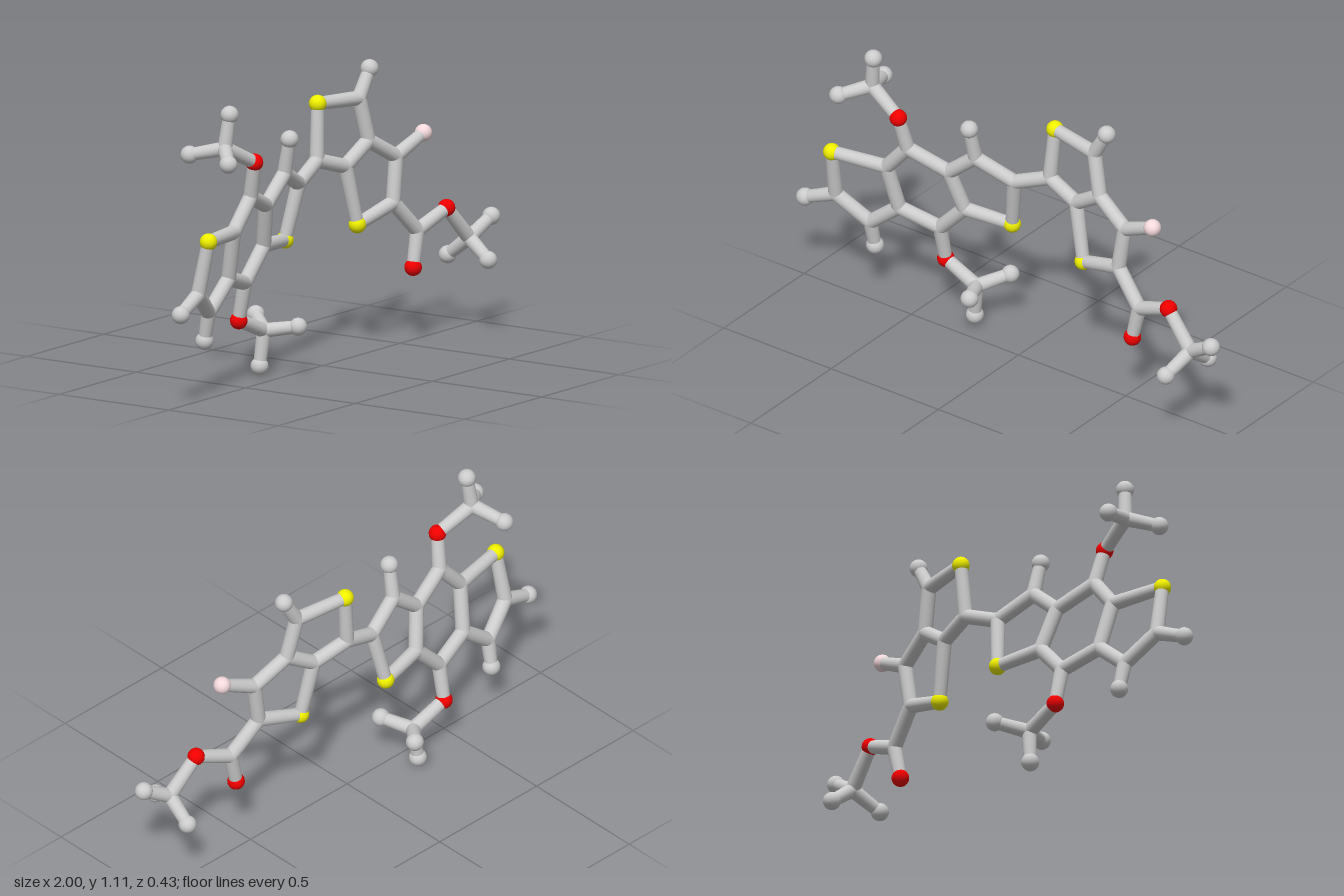
import * as THREE from 'three';

// ball radius, bond radius at that end, colour
const KINDS = {
  carbon: [0.028, 0.028, 0xcccccc],
  hydrogen: [0.034, 0.024, 0xcccccc],
  sulfur: [0.033, 0.025, 0xf0f000],
  oxygen: [0.033, 0.025, 0xf00000],
  fluorine: [0.033, 0.024, 0xf5dadd],
};

// the two fused ring systems are flat, each in its own tilted plane
const leftPlane = (x, y) => -0.217 - 0.184 * x + 0.202 * y;
const rightPlane = (x, y) => -0.058 + 0.18 * x - 0.055 * y;

// name: [kind, x, y, z or plane]
const ATOMS = {
  // left fused rings
  s1: ['sulfur', -0.826, 0.62, leftPlane],
  c1: ['carbon', -0.837, 0.417, leftPlane],
  c2: ['carbon', -0.708, 0.32, leftPlane],
  c3: ['carbon', -0.575, 0.428, leftPlane],
  c4: ['carbon', -0.602, 0.615, leftPlane],
  c5: ['carbon', -0.5, 0.733, leftPlane],
  c6: ['carbon', -0.34, 0.668, leftPlane],
  c7: ['carbon', -0.297, 0.503, leftPlane],
  c8: ['carbon', -0.414, 0.38, leftPlane],
  c9: ['carbon', -0.217, 0.77, leftPlane],
  c10: ['carbon', -0.067, 0.7, leftPlane],
  s2: ['sulfur', -0.104, 0.487, leftPlane],
  h1: ['hydrogen', -0.97, 0.363, leftPlane],
  h2: ['hydrogen', -0.703, 0.21, leftPlane],
  h3: ['hydrogen', -0.225, 0.904, leftPlane],
  o1: ['oxygen', -0.52, 0.872, leftPlane],
  o2: ['oxygen', -0.41, 0.232, leftPlane],
  // upper methyl
  m1: ['carbon', -0.666, 0.945, 0.022],
  m1a: ['hydrogen', -0.652, 1.073, 0.034],
  m1b: ['hydrogen', -0.762, 0.91, 0.106],
  m1c: ['hydrogen', -0.71, 0.914, -0.108],
  // lower methyl
  m2: ['carbon', -0.26, 0.17, -0.085],
  m2a: ['hydrogen', -0.275, 0.036, -0.095],
  m2b: ['hydrogen', -0.175, 0.206, -0.183],
  m2c: ['hydrogen', -0.205, 0.189, 0.032],
  // right fused rings
  c11: ['carbon', 0.083, 0.76, rightPlane],
  s3: ['sulfur', 0.1, 0.973, rightPlane],
  c12: ['carbon', 0.313, 0.963, rightPlane],
  c13: ['carbon', 0.35, 0.797, rightPlane],
  c14: ['carbon', 0.227, 0.717, rightPlane],
  s4: ['sulfur', 0.275, 0.489, rightPlane],
  c15: ['carbon', 0.463, 0.545, rightPlane],
  c16: ['carbon', 0.489, 0.717, rightPlane],
  h4: ['hydrogen', 0.374, 1.067, rightPlane],
  f1: ['fluorine', 0.634, 0.784, rightPlane],
  // ester and its methyl
  c17: ['carbon', 0.58, 0.422, rightPlane],
  o3: ['oxygen', 0.55, 0.287, rightPlane],
  o4: ['oxygen', 0.735, 0.485, rightPlane],
  m3: ['carbon', 0.853, 0.353, 0.068],
  m3a: ['hydrogen', 0.965, 0.42, 0.09],
  m3b: ['hydrogen', 0.82, 0.287, 0.178],
  m3c: ['hydrogen', 0.858, 0.277, -0.034],
};

// each string is a chain of bonded atoms
const CHAINS = [
  's1 c1 c2 c3 c4 s1', 'c4 c5 c6 c7 c8 c3', 'c6 c9 c10 s2 c7',
  'c1 h1', 'c2 h2', 'c9 h3',
  'c5 o1 m1 m1a', 'm1b m1 m1c',
  'c8 o2 m2 m2a', 'm2b m2 m2c',
  'c10 c11 s3 c12 c13 c14 c11', 'c14 s4 c15 c16 c13',
  'c12 h4', 'c16 f1', 'c15 c17 o3',
  'c17 o4 m3 m3a', 'm3b m3 m3c',
];

export function createModel() {
  const model = new THREE.Group();
  model.name = 'stickMolecule';
  const atoms = new THREE.Group();
  atoms.name = 'atoms';
  const bonds = new THREE.Group();
  bonds.name = 'bonds';
  model.add(atoms, bonds);

  const balls = {};
  for (const [kind, [radius, , color]] of Object.entries(KINDS)) {
    balls[kind] = {
      geometry: new THREE.SphereGeometry(radius, 24, 16),
      material: new THREE.MeshStandardMaterial({ color }),
    };
  }

  // balls at the atoms
  const at = {};
  for (const [key, [kind, x, y, z]] of Object.entries(ATOMS)) {
    at[key] = new THREE.Vector3(x, y, typeof z === 'function' ? z(x, y) : z);
    const ball = new THREE.Mesh(balls[kind].geometry, balls[kind].material);
    ball.name = kind + 'Atom';
    ball.position.copy(at[key]);
    atoms.add(ball);
  }

  // slightly tapered rods between them
  const up = new THREE.Vector3(0, 1, 0);
  const addBond = (a, b) => {
    const along = at[b].clone().sub(at[a]);
    const rod = new THREE.Mesh(
      new THREE.CylinderGeometry(KINDS[ATOMS[b][0]][1], KINDS[ATOMS[a][0]][1], along.length(), 20),
      balls.carbon.material
    );
    rod.name = 'bond';
    rod.position.copy(at[a]).addScaledVector(along, 0.5);
    rod.quaternion.setFromUnitVectors(up, along.normalize());
    bonds.add(rod);
  };
  for (const chain of CHAINS) {
    const keys = chain.split(' ');
    for (let i = 1; i < keys.length; i++) addBond(keys[i - 1], keys[i]);
  }
  return model;
}
